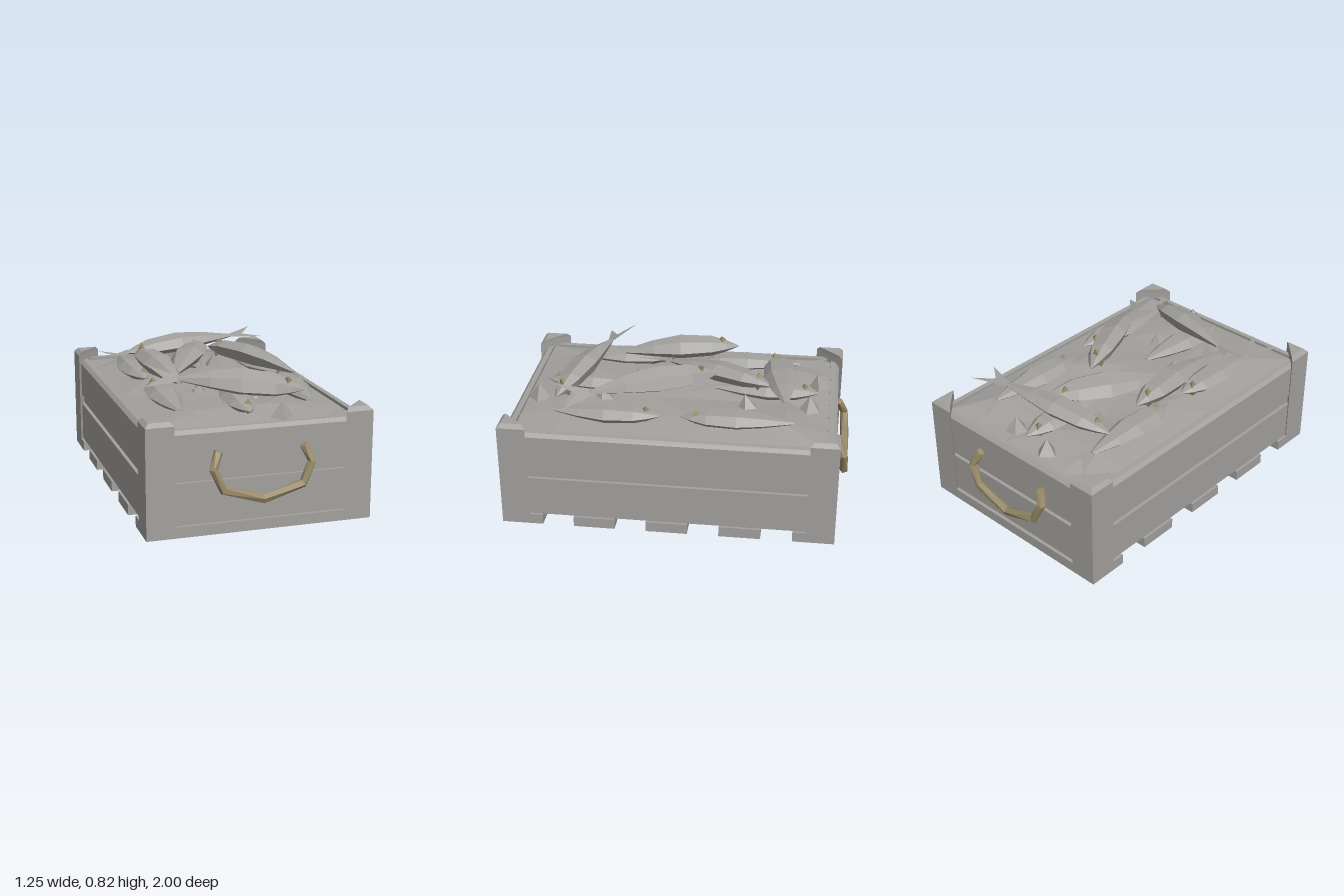
import * as THREE from 'three';

const grey = new THREE.MeshStandardMaterial({ color: 0xa2a09d, flatShading: true, side: THREE.DoubleSide });
grey.name = 'weathered grey';
const tan = new THREE.MeshStandardMaterial({ color: 0x978968, flatShading: true });
tan.name = 'dull tan';

function add(parent, name, geometry, material = grey) {
  const mesh = new THREE.Mesh(geometry, material);
  mesh.name = name;
  parent.add(mesh);
  return mesh;
}

// Skin a list of equal-length rings of Vector3 and close both ends
function loft(rings) {
  const pos = [], n = rings[0].length;
  const tri = (...p) => p.forEach(v => pos.push(v.x, v.y, v.z));
  for (let i = 0; i < rings.length - 1; i++) {
    for (let j = 0; j < n; j++) {
      const k = (j + 1) % n, a = rings[i], b = rings[i + 1];
      tri(a[j], a[k], b[j]);
      tri(a[k], b[k], b[j]);
    }
  }
  const first = rings[0], last = rings[rings.length - 1];
  for (let j = 1; j < n - 1; j++) {
    tri(first[0], first[j + 1], first[j]);
    tri(last[0], last[j], last[j + 1]);
  }
  const g = new THREE.BufferGeometry();
  g.setAttribute('position', new THREE.Float32BufferAttribute(pos, 3));
  g.computeVertexNormals();
  return g;
}

const V = (x, y, z) => new THREE.Vector3(x, y, z);
const polygon = pts => new THREE.Shape(pts.map(p => new THREE.Vector2(...p)));

function makeCrate() {
  const crate = new THREE.Group();
  crate.name = 'crate';

  // Bottom slats and floor
  for (let i = -2; i <= 2; i++) {
    add(crate, 'bottomSlat', new THREE.BoxGeometry(1.25, 0.06, 0.234)).position.set(0, 0.03, i * 0.4115);
  }
  add(crate, 'floor', new THREE.BoxGeometry(1.2, 0.03, 1.82)).position.y = 0.075;

  // Walls: two planks with a recessed gap, upper edge bevelled
  const profile = polygon([[0, 0.06], [0, 0.29], [-0.02, 0.29], [-0.02, 0.347], [0, 0.347],
    [0, 0.55], [-0.02, 0.57], [-0.05, 0.57], [-0.05, 0.06]]);
  for (let k = 0; k < 4; k++) {
    const [outer, length] = k % 2 ? [0.92, 1.21] : [0.61, 1.83];
    const g = new THREE.ExtrudeGeometry(profile, { depth: length, bevelEnabled: false });
    g.translate(outer, 0, -length / 2);
    add(crate, k % 2 ? 'endWall' : 'sideWall', g).rotation.y = -k * Math.PI / 2;
  }

  // Triangular corner posts with chamfered tops
  for (const sx of [-1, 1]) for (const sz of [-1, 1]) {
    const ring = (y, d) => {
      const r = [[0.625 - d, 0.94 - d], [0.47 + d * 0.9, 0.94 - d], [0.625 - d, 0.78 + d * 0.9]]
        .map(([x, z]) => V(sx * x, y, sz * z));
      return sx * sz > 0 ? r.reverse() : r;
    };
    add(crate, 'cornerPost', loft([ring(0, 0), ring(0.605, 0), ring(0.627, 0.022)]));
  }

  // Rope handles on both ends
  const path = [[-0.235, 0.45, 0.93], [-0.272, 0.365, 0.965], [-0.22, 0.25, 0.974], [0, 0.183, 0.972],
    [0.22, 0.25, 0.974], [0.272, 0.365, 0.965], [0.235, 0.45, 0.93]].map(p => V(...p));
  const rings = path.map((p, i) => {
    const t = path[Math.min(i + 1, 6)].clone().sub(path[Math.max(i - 1, 0)]).setZ(0).normalize();
    const normal = V(-t.y, t.x, 0);
    return Array.from({ length: 5 }, (_, j) => {
      const a = j / 5 * Math.PI * 2 + 0.45 * i;
      return p.clone().addScaledVector(normal, 0.025 * Math.cos(a)).add(V(0, 0, 0.026 * Math.sin(a)));
    });
  });
  for (const turn of [0, Math.PI]) add(crate, 'handle', loft(rings), tan).rotation.y = turn;
  return crate;
}

// A fish lying on its side, from tail root to head; bow lifts the middle
function makeFish(head, tail, thick = 0.042, roll = 0, bow = 0, width = 0.094) {
  const fish = new THREE.Group();
  fish.name = 'fish';
  const h = V(...head), t = V(...tail), L = h.distanceTo(t);
  const lift = u => bow * 4 * u * (1 - u);

  const stations = [[0, 0.15], [0.26, 0.68], [0.5, 1], [0.77, 0.84], [0.9, 0.46], [1, 0.04]];
  add(fish, 'body', loft(stations.map(([u, s]) => Array.from({ length: 6 }, (_, j) => {
    const a = (j + 0.5) / 6 * Math.PI * 2;
    return V(u * L, lift(u) + Math.cos(a) * thick * s * 1.15, Math.sin(a) * width * s);
  }))));

  // Forked tail fin
  const fin = new THREE.ShapeGeometry(polygon([[0.03, 0.014], [-0.18, 0.1], [-0.08, 0], [-0.18, -0.1], [0.03, -0.014]]));
  add(fish, 'tailFin', fin.rotateX(-Math.PI / 2));

  for (const s of [-1, 1]) {
    const eye = add(fish, 'eye', new THREE.ConeGeometry(0.03, 0.034, 3), tan);
    eye.position.set(L * 0.86, lift(0.86) + s * (thick * 0.56 + 0.011), -0.012);
    if (s < 0) eye.rotation.x = Math.PI;
  }

  const X = h.clone().sub(t).normalize();
  const Z = X.clone().cross(V(0, 1, 0)).normalize();
  fish.quaternion.setFromRotationMatrix(new THREE.Matrix4().makeBasis(X, Z.clone().cross(X), Z));
  fish.rotateX(roll);
  fish.position.copy(t);
  return fish;
}

export function createModel() {
  const model = new THREE.Group();
  model.name = 'crateOfFish';
  model.add(makeCrate());

  // Uneven bed of ice
  const ice = new THREE.PlaneGeometry(1.14, 1.76, 5, 7).rotateX(-Math.PI / 2);
  const p = ice.attributes.position;
  for (let i = 0; i < p.count; i++) {
    const edge = Math.abs(p.getX(i)) > 0.56 || Math.abs(p.getZ(i)) > 0.87;
    const r = Math.abs(Math.sin(i * 12.99) * 43.7) % 1;
    if (!edge) p.setX(i, p.getX(i) + (r - 0.5) * 0.08);
    p.setY(i, edge ? 0.552 : 0.57 + r * 0.04);
  }
  add(model, 'iceBed', ice);

  // Loose ice chunks
  [[-0.16, -0.8], [0.12, -0.76], [-0.17, -0.42], [0.15, -0.4], [-0.14, 0.26], [0.13, 0.43], [0.16, 0.8]]
    .forEach(([x, z], i) => {
      const chunk = add(model, 'iceChunk', new THREE.ConeGeometry(0.065, 0.09, 4 + i % 2));
      chunk.position.set(x, 0.612, z);
      chunk.rotation.set(0.12, i * 1.3, -0.1);
    });

  // Fish: head, tail root, half thickness, roll, bow
  [
    [[-0.37, 0.61, -0.06], [-0.38, 0.61, -0.68]],
    [[0.37, 0.61, -0.05], [0.37, 0.61, -0.68]],
    [[-0.37, 0.62, 0.06], [-0.37, 0.61, 0.68]],
    [[0.40, 0.62, 0.06], [0.37, 0.61, 0.68]],
    [[-0.02, 0.61, 0.80], [0.02, 0.62, 0.20]],
    [[-0.01, 0.61, -0.81], [0.0, 0.62, -0.20]],
    [[0.10, 0.69, -0.54], [-0.23, 0.66, 0.08], 0.05, -0.2, 0.015, 0.105],
    [[-0.36, 0.72, -0.31], [-0.28, 0.68, 0.38], 0.055, 0.1, 0.015],
    [[0.06, 0.74, -0.23], [0.35, 0.72, 0.46], 0.055, 0.35, 0.025],
    [[0.34, 0.67, 0.66], [-0.32, 0.73, 0.46], 0.055, 0.42, 0.02, 0.1],
    [[-0.38, 0.66, -0.54], [0.33, 0.71, -0.63], 0.045, -0.15, 0.015, 0.1],
  ].forEach(f => model.add(makeFish(...f)));

  return model;
}
